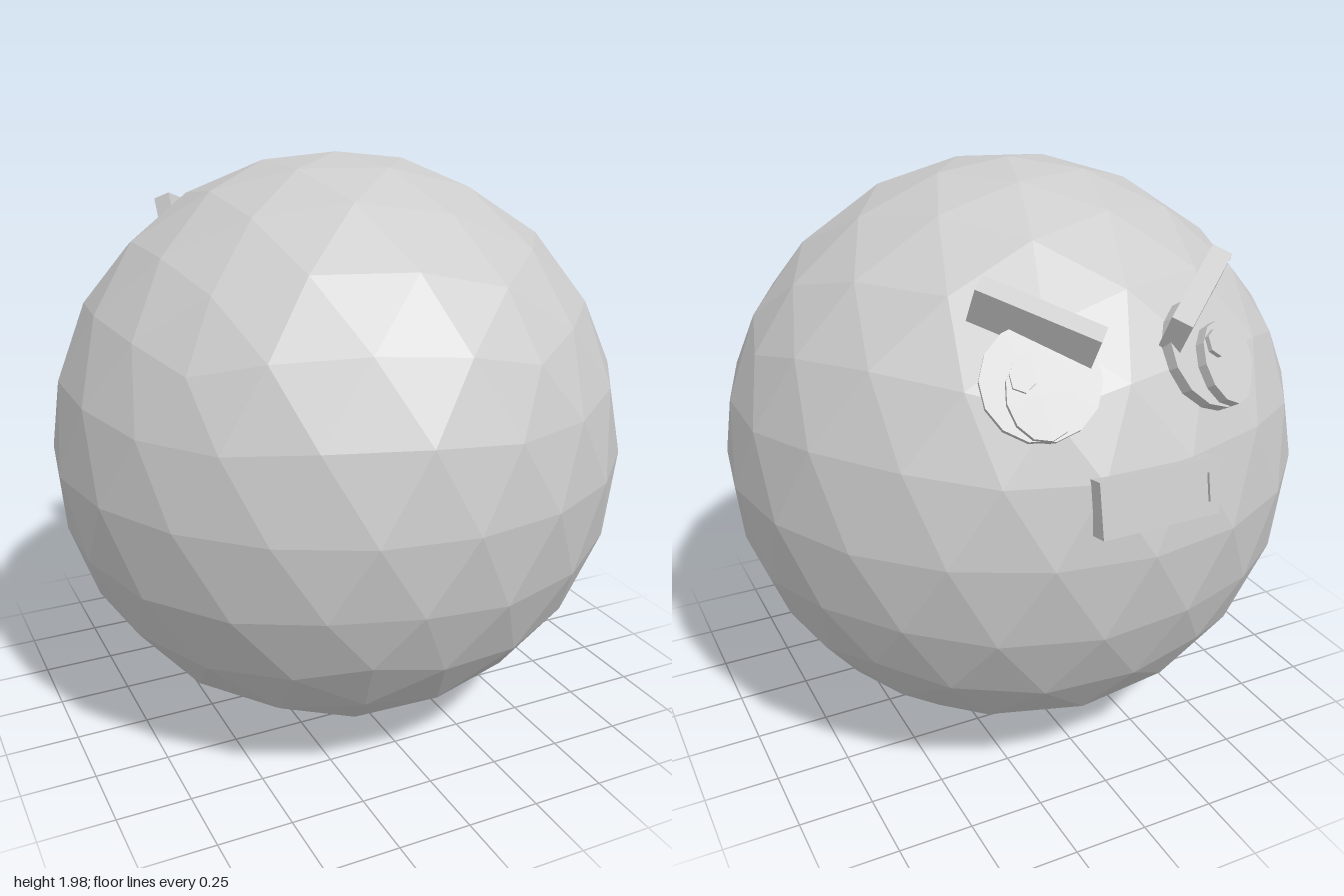
import * as THREE from 'three';

const grey = new THREE.MeshStandardMaterial({ color: 0xcccccc, flatShading: true });
grey.name = 'grey';

const CENTRE = new THREE.Vector3(0, 0.99, 0.01);
const RADIUS = 0.99;

function part(name, geometry, parent, x = 0, y = 0, z = 0) {
  const mesh = new THREE.Mesh(geometry, grey);
  mesh.name = name;
  mesh.position.set(x, y, z);
  parent.add(mesh);
  return mesh;
}

// Group whose local z points along normal and whose local x follows along
function frame(name, origin, normal, along) {
  const z = normal.clone().normalize();
  const x = along.clone().addScaledVector(z, -along.dot(z)).normalize();
  const y = z.clone().cross(x);
  const group = new THREE.Group();
  group.name = name;
  group.quaternion.setFromRotationMatrix(new THREE.Matrix4().makeBasis(x, y, z));
  group.position.copy(origin);
  return group;
}

// Outward direction on the ball; azimuth is measured from the back towards +x
function direction(azimuth, elevation) {
  const a = THREE.MathUtils.degToRad(azimuth);
  const e = THREE.MathUtils.degToRad(elevation);
  return new THREE.Vector3(Math.sin(a) * Math.cos(e), Math.sin(e), -Math.cos(a) * Math.cos(e));
}

// Flat disc facing local z, from depth z0 to z1
function disc(rx, ry, z0, z1, sides) {
  const g = new THREE.CylinderGeometry(1, 1, z1 - z0, sides);
  g.rotateX(Math.PI / 2);
  g.scale(rx, ry, 1);
  g.translate(0, 0, (z0 + z1) / 2);
  return g;
}

function rectangle(Type, w, h) {
  const p = new Type();
  p.moveTo(-w / 2, -h / 2);
  p.lineTo(w / 2, -h / 2);
  p.lineTo(w / 2, h / 2);
  p.lineTo(-w / 2, h / 2);
  p.closePath();
  return p;
}

export function createModel() {
  const model = new THREE.Group();
  model.name = 'ballWithFace';
  const sideways = new THREE.Vector3(-1, 0, 0);

  // Faceted ball, turned so that a five-sided corner is at the top
  const ball = new THREE.IcosahedronGeometry(RADIUS, 3);
  ball.rotateZ(-Math.atan(2 / (1 + Math.sqrt(5))));
  ball.computeVertexNormals();
  part('ball', ball, model, CENTRE.x, CENTRE.y, CENTRE.z);

  for (const s of [-1, 1]) {
    const side = s > 0 ? 'left' : 'right';

    // Eye: round socket, oval eyeball set low, small pupil looking to one side
    const eye = frame(side + 'Eye', CENTRE, direction(s * 19.7, 32), sideways);
    part('eyeSocket', disc(0.174, 0.174, 0.93, 0.998, 14), eye);
    part('eyeball', disc(0.097, 0.128, 0.97, 1.03, 12), eye, -s * 0.015, -0.045);
    part('pupil', disc(0.038, 0.042, 1.0, 1.045, 6), eye, -s * 0.015 - 0.04, 0.012);
    model.add(eye);

    // Slanted brow, lower at its inner end
    const brow = frame(
      side + 'Brow',
      new THREE.Vector3(s * 0.265, 1.66, -0.715),
      new THREE.Vector3(0, 0.86, -0.51),
      new THREE.Vector3(-s * 0.745, -0.35, -0.567)
    );
    part('browBar', new THREE.BoxGeometry(0.375, 0.065, 0.125), brow);
    model.add(brow);
  }

  // Mouth: block with a shallow recess
  const mouth = frame('mouth', CENTRE, direction(0, 11), sideways);
  part('mouthBlock', new THREE.BoxGeometry(0.39, 0.17, 0.074), mouth, 0, 0, 0.967);
  const lips = rectangle(THREE.Shape, 0.39, 0.17);
  lips.holes.push(rectangle(THREE.Path, 0.33, 0.09));
  part('lips', new THREE.ExtrudeGeometry(lips, { depth: 0.01, bevelEnabled: false }), mouth, 0, 0, 1.004);
  model.add(mouth);

  return model;
}
